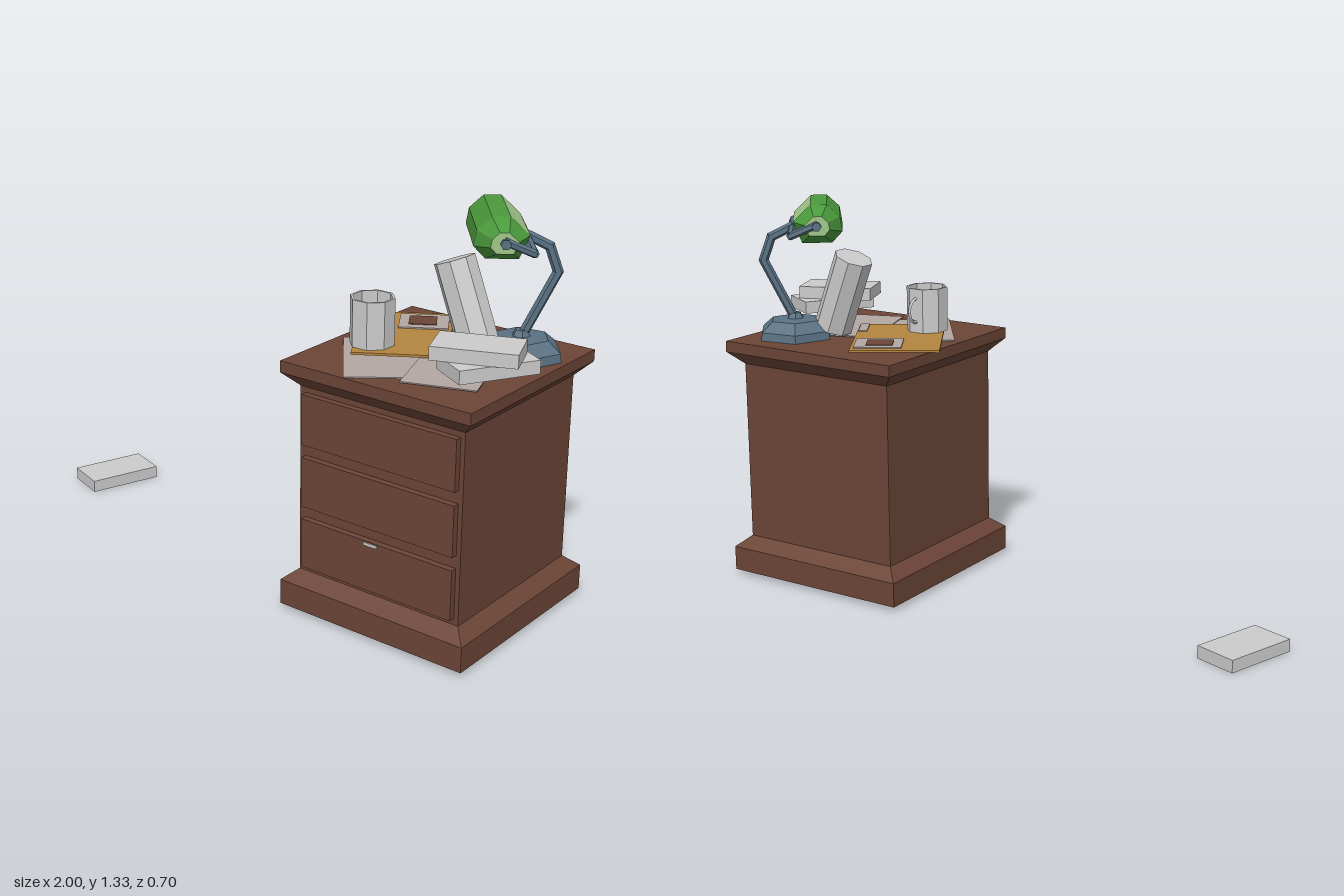
import * as THREE from 'three';

const mat = (name, color, side = THREE.FrontSide) =>
  Object.assign(new THREE.MeshStandardMaterial({ color, flatShading: true, side }), { name });

export function createModel() {
  const model = new THREE.Group();
  const wood = mat('brown wood', 0x6b4536);
  const steel = mat('blue grey metal', 0x5a7183);
  const green = mat('green glass', 0x4a9a3c);
  const lightGreen = mat('light green glass', 0x9fc587);
  const grey = mat('light grey', 0xcbcbcb);
  const paper = mat('paper', 0xb3a7a3);
  const tan = mat('tan board', 0xb4853e);

  const add = (name, geo, material, parent = model) => {
    const g = geo.index ? geo.toNonIndexed() : geo;
    g.computeVertexNormals();
    const m = new THREE.Mesh(g, material);
    m.name = name;
    parent.add(m);
    return m;
  };
  // flat box lying with its length along the heading (dx, dz)
  const slab = (name, material, x, y, z, len, h, wid, dx = 1, dz = 0) => {
    const m = add(name, new THREE.BoxGeometry(len, h, wid), material);
    m.position.set(x, y, z);
    m.rotation.y = Math.atan2(-dz, dx);
    return m;
  };
  const lathe = (pts, sides, start = Math.PI / sides) =>
    new THREE.LatheGeometry(pts.map(p => new THREE.Vector2(...p)), sides, start);
  // straight rods along a list of points
  const rods = (name, pts, r, material, parent) => {
    for (let i = 0; i + 1 < pts.length; i++) {
      const a = new THREE.Vector3(...pts[i]), b = new THREE.Vector3(...pts[i + 1]);
      const d = b.clone().sub(a);
      const m = add(name, new THREE.CylinderGeometry(r, r, d.length() + r * 0.7, 6), material, parent);
      m.position.copy(a).add(b).multiplyScalar(0.5);
      m.quaternion.setFromUnitVectors(new THREE.Vector3(0, 1, 0), d.normalize());
    }
  };

  // cabinet with flared plinth and top
  const k = Math.SQRT2;
  const cabinet = add('cabinet', lathe([[0, 0.017], [0.35 * k, 0.017], [0.35 * k, 0.102], [0.305 * k, 0.14],
    [0.305 * k, 0.767], [0.35 * k, 0.812], [0.35 * k, 0.85], [0, 0.85]], 4), wood);
  cabinet.position.set(0.607, 0, -0.005);
  cabinet.scale.x = 0.994;
  for (const y of [0.245, 0.455, 0.665])
    slab('drawer', wood, 0.61, y, 0.306, 0.57, 0.167, 0.032);
  slab('drawerPull', grey, 0.597, 0.32, 0.323, 0.05, 0.01, 0.006);

  // loose sheets and the clipboard
  slab('sheet', paper, 0.505, 0.853, 0.118, 0.362, 0.004, 0.28, 0.22, 0.288);
  slab('sheet', paper, 0.71, 0.856, 0.07, 0.36, 0.004, 0.234, 0.12, 0.34);
  slab('clipboard', tan, 0.434, 0.867, -0.061, 0.415, 0.008, 0.3, 0.219, 0.353);
  slab('clip', paper, 0.425, 0.873, -0.187, 0.14, 0.005, 0.16, 0.219, 0.353);
  slab('clipHole', wood, 0.42, 0.876, -0.187, 0.085, 0.003, 0.09, 0.219, 0.353);
  slab('note', paper, 0.62, 0.873, -0.01, 0.11, 0.004, 0.03, 0.219, 0.353);

  // books
  const book = (x, y, z, dx, dz) => slab('book', grey, x, y, z, 0.263, 0.043, 0.15, dx, dz);
  book(-0.883, 0.0215, -0.057, 0.084, -0.25);
  book(0.87, 0.918, 0.13, 0.5, -0.87);
  book(0.842, 0.961, 0.143, 0.241, -0.097);

  // mug
  const mug = new THREE.Group();
  mug.name = 'mug';
  mug.position.set(0.418, 0, 0.088);
  model.add(mug);
  add('mugBody', lathe([[0, 0.872], [0.072, 0.872], [0.072, 1.025], [0.064, 1.025], [0.064, 0.885], [0, 0.885]], 8), grey, mug);
  const handle = add('mugHandle', new THREE.TorusGeometry(0.042, 0.006, 4, 8, Math.PI), grey, mug);
  handle.rotation.set(0, Math.PI / 2, -Math.PI / 2, 'YXZ');
  handle.position.set(0, 0.95, -0.064);

  // leaning canister
  const can = add('canister', new THREE.CylinderGeometry(0.067, 0.067, 0.27, 8, 1, false, Math.PI / 8), grey);
  can.position.set(0.641, 1.01, -0.095);
  can.rotation.z = 0.37;

  // desk lamp: local x runs along the shade, -z toward the stand
  const lamp = new THREE.Group();
  lamp.name = 'lamp';
  lamp.position.set(0.735, 0, -0.11);
  lamp.rotation.y = Math.atan2(-0.785, 0.62);
  model.add(lamp);
  const base = add('lampBase', lathe([[0, 0.85], [0.136, 0.85], [0.132, 0.878], [0.09, 0.912], [0.03, 0.916],
    [0.02, 0.935], [0, 0.935]], 6), steel, lamp);
  base.position.z = -0.085;
  rods('lampArm', [[0, 0.91, -0.085], [0, 1.12, -0.187], [0, 1.2, -0.158], [0, 1.235, -0.087]], 0.016, steel, lamp);
  rods('shadeFrame', [[-0.2, 1.268, 0], [-0.19, 1.23, -0.087], [0.19, 1.23, -0.087], [0.2, 1.268, 0]], 0.013, steel, lamp);
  for (const s of [-1, 1]) {
    const pivot = add('shadePivot', new THREE.CylinderGeometry(0.016, 0.016, 0.03, 6), steel, lamp);
    pivot.rotation.z = Math.PI / 2;
    pivot.position.set(s * 0.2, 1.262, 0);
  }

  // faceted shade lofted from four cross-sections
  const section = [[0.05, 1.197], [0.086, 1.235], [0.078, 1.285], [0.035, 1.325],
    [-0.02, 1.325], [-0.08, 1.268], [-0.05, 1.197]];
  const rings = [[-0.2, 0.5], [-0.13, 1], [0.13, 1], [0.2, 0.5]].map(([x, s]) =>
    section.map(([z, y]) => [x, 1.265 + (y - 1.265) * s, z * s]));
  const n = section.length, dark = [], light = [];
  for (let r = 0; r < 3; r++) for (let i = 0; i < n; i++) {
    const j = (i + 1) % n;
    const a = rings[r][i], b = rings[r + 1][i], c = rings[r + 1][j], d = rings[r][j];
    (r === 1 && i === 4 ? light : dark).push(...a, ...b, ...c, ...a, ...c, ...d);
  }
  for (let i = 1; i < n - 1; i++) {
    light.push(...rings[0][0], ...rings[0][i], ...rings[0][i + 1]);
    light.push(...rings[3][0], ...rings[3][i + 1], ...rings[3][i]);
  }
  const faces = (name, list, m) => {
    const g = new THREE.BufferGeometry();
    g.setAttribute('position', new THREE.Float32BufferAttribute(list, 3));
    add(name, g, m, lamp);
  };
  faces('lampShade', dark, green);
  faces('shadePanels', light, lightGreen);

  return model;
}
